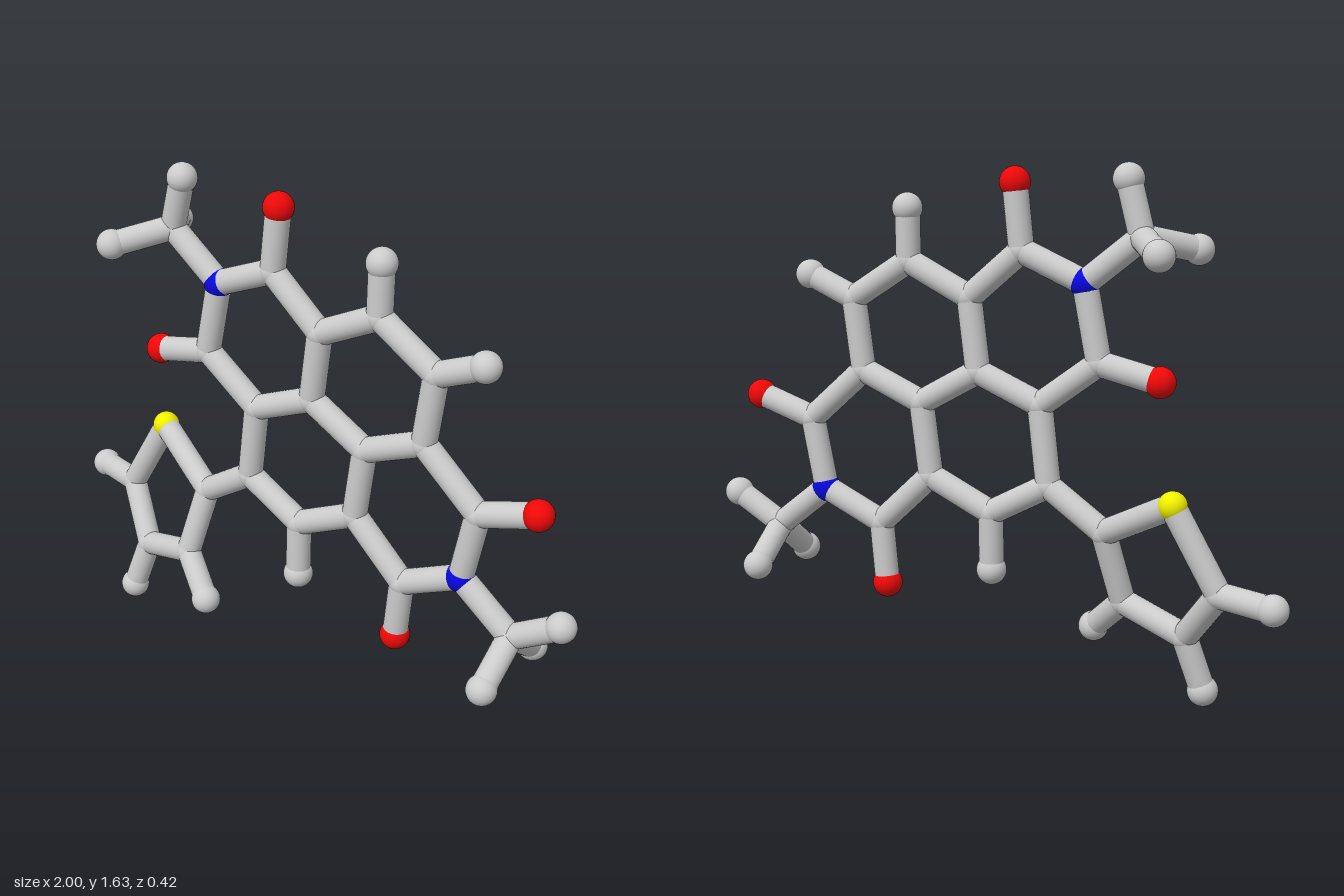
import * as THREE from 'three';

const BALL = 0.048, STICK = 0.04, REACH = 0.31;
const material = (color) => new THREE.MeshStandardMaterial({ color });
const grey = material(0xcccccc);
const KINDS = {
  C: { name: 'carbonBall', mat: grey, r: 0.042 },
  H: { name: 'hydrogenBall', mat: grey, r: BALL },
  O: { name: 'oxygenBall', mat: material(0xee0808), r: BALL },
  N: { name: 'nitrogenBall', mat: material(0x0808dd), r: 0.047 },
  S: { name: 'sulfurBall', mat: material(0xf0f000), r: 0.045 },
};

// Ball positions by part: kind, x, y, z
const PARTS = {
  fusedRings: [
    ['C', 0.08, 1.21, 0], ['C', 0.29, 1.315, -0.01], ['C', 0.49, 1.19, -0.015],
    ['C', 0.46, 0.96, -0.01], ['C', 0.25, 0.87, -0.005], ['C', 0.05, 0.98, 0],
    ['C', -0.16, 0.89, 0.01], ['C', -0.19, 0.64, 0.01], ['C', 0.01, 0.535, 0.01],
    ['C', 0.22, 0.635, 0],
    ['H', 0.29, 1.48, -0.015], ['H', 0.65, 1.26, -0.02], ['H', 0.01, 0.35, 0.015],
  ],
  upperImide: [
    ['C', -0.10, 1.36, 0], ['O', -0.08, 1.565, -0.005], ['N', -0.31, 1.27, 0.005],
    ['C', -0.355, 1.03, 0.012], ['O', -0.55, 0.985, 0.02],
  ],
  upperMethyl: [
    ['C', -0.49, 1.41, 0.01], ['H', -0.445, 1.58, 0.01],
    ['H', -0.61, 1.37, 0.16], ['H', -0.605, 1.37, -0.14],
  ],
  lowerImide: [
    ['C', 0.405, 0.465, 0], ['O', 0.385, 0.265, 0], ['N', 0.61, 0.56, -0.01],
    ['C', 0.655, 0.79, -0.015], ['O', 0.85, 0.855, -0.022],
  ],
  lowerMethyl: [
    ['C', 0.79, 0.42, -0.015], ['H', 0.95, 0.515, -0.025],
    ['H', 0.79, 0.31, 0.13], ['H', 0.785, 0.31, -0.16],
  ],
  fiveSidedRing: [
    ['C', -0.38, 0.515, 0.005], ['S', -0.635, 0.64, -0.077], ['C', -0.775, 0.385, -0.055],
    ['C', -0.64, 0.22, 0.025], ['C', -0.42, 0.29, 0.065],
    ['H', -0.955, 0.375, -0.10], ['H', -0.69, 0.05, 0.055], ['H', -0.295, 0.18, 0.125],
  ],
};

const UP = new THREE.Vector3(0, 1, 0);
const ballGeometry = new THREE.SphereGeometry(1, 32, 20);
const stickGeometry = new THREE.CylinderGeometry(STICK, STICK, 1, 24, 1, true);

function makeBall({ kind, pos }) {
  const { name, mat, r } = KINDS[kind];
  const ball = new THREE.Mesh(ballGeometry, mat);
  ball.name = name;
  ball.position.copy(pos);
  ball.scale.setScalar(r);
  return ball;
}

function makeStick(a, b) {
  const dir = b.clone().sub(a);
  const stick = new THREE.Mesh(stickGeometry, grey);
  stick.name = 'bondStick';
  stick.position.copy(a).add(b).multiplyScalar(0.5);
  stick.scale.y = dir.length();
  stick.quaternion.setFromUnitVectors(UP, dir.normalize());
  return stick;
}

export function createModel() {
  const model = new THREE.Group();
  model.name = 'moleculeModel';
  const atoms = [];

  // Balls, grouped by part
  for (const [name, list] of Object.entries(PARTS)) {
    const part = new THREE.Group();
    part.name = name;
    model.add(part);
    for (const [kind, x, y, z] of list) {
      const atom = { kind, pos: new THREE.Vector3(x, y, z) };
      atoms.push(atom);
      part.add(makeBall(atom));
    }
  }

  // Sticks join every pair of near neighbours, except two hydrogens
  const bonds = new THREE.Group();
  bonds.name = 'bonds';
  model.add(bonds);
  atoms.forEach((a, i) => {
    for (const b of atoms.slice(i + 1)) {
      if (a.kind === 'H' && b.kind === 'H') continue;
      if (a.pos.distanceTo(b.pos) < REACH) bonds.add(makeStick(a.pos, b.pos));
    }
  });
  return model;
}
